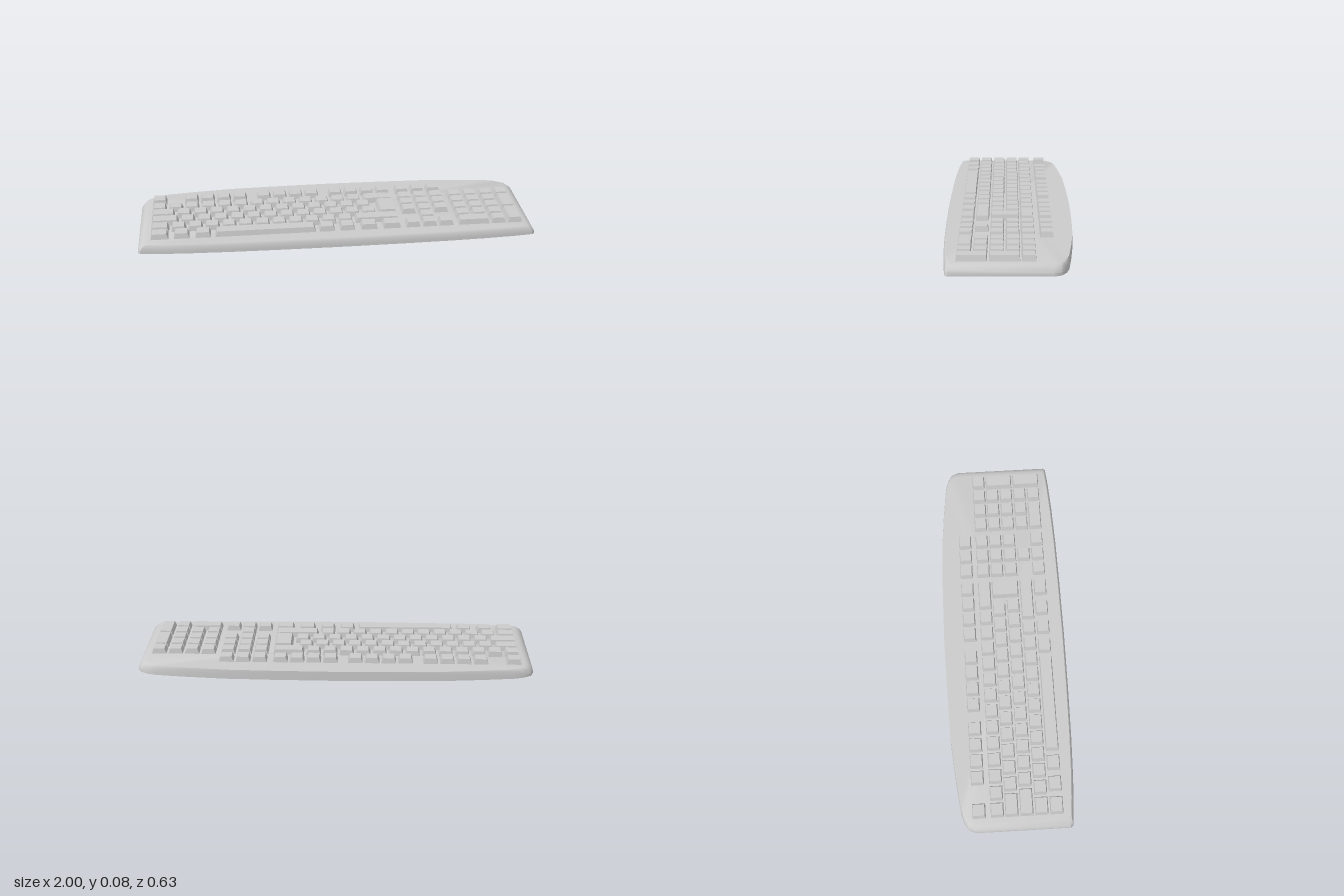
import * as THREE from 'three';
import { toCreasedNormals } from 'three/addons/utils/BufferGeometryUtils.js';

const material = new THREE.MeshStandardMaterial({ color: 0xcccccc });

// Right half of the case outline [x, z], from back centre to front centre
const HALF = [
  [0, -0.315], [0.3, -0.311], [0.55, -0.304], [0.75, -0.287], [0.9, -0.27],
  [0.95, -0.256], [0.985, -0.234], [1, -0.2], [1, 0.27], [0.99, 0.282],
  [0.9, 0.291], [0.75, 0.3], [0.55, 0.307], [0.3, 0.311], [0, 0.313],
];
// Side profile of the case: height, x scale, front inset
const RINGS = [
  [0, 1, 0], [0.014, 0.999, 0], [0.028, 0.991, 0.001],
  [0.039, 0.981, 0.004], [0.046, 0.969, 0.007], [0.05, 0.955, 0.011],
];

function makeCase() {
  const outline = [...HALF, ...HALF.slice(1, -1).reverse().map(([x, z]) => [-x, z])];
  const n = outline.length;
  const pos = [], index = [];
  for (const [y, sx, inset] of RINGS)
    for (const [x, z] of outline) pos.push(x * sx, y, z > 0 ? z - inset : z);
  const bottom = pos.length / 3, top = bottom + 1;
  pos.push(0, 0, 0, 0, 0.05, 0);
  const last = (RINGS.length - 1) * n;
  for (let i = 0; i < n; i++) {
    const j = (i + 1) % n;
    for (let r = 0; r < last; r += n)
      index.push(r + i, r + n + i, r + n + j, r + i, r + n + j, r + j);
    index.push(bottom, i, j, top, last + j, last + i);
  }
  const geo = new THREE.BufferGeometry();
  geo.setAttribute('position', new THREE.Float32BufferAttribute(pos, 3));
  geo.setIndex(index);
  const mesh = new THREE.Mesh(toCreasedNormals(geo, 0.6), material);
  mesh.name = 'case';
  return mesh;
}

// Key cap: a box whose top edges are drawn in
function makeKey(name, x0, x1, z0, z1, top = 0.077) {
  const base = 0.047;
  const geo = new THREE.BoxGeometry(x1 - x0, top - base, z1 - z0);
  const p = geo.attributes.position;
  for (let i = 0; i < p.count; i++) {
    if (p.getY(i) < 0) continue;
    p.setX(i, p.getX(i) - Math.sign(p.getX(i)) * 0.01);
    p.setZ(i, p.getZ(i) - (p.getZ(i) > 0 ? 0.006 : -0.004));
  }
  const mesh = new THREE.Mesh(toCreasedNormals(geo, 0.3), material);
  mesh.position.set((x0 + x1) / 2, (base + top) / 2, (z0 + z1) / 2);
  mesh.name = name;
  return mesh;
}

export function createModel() {
  const model = new THREE.Group();
  model.name = 'keyboard';
  model.add(makeCase());

  const PITCH = 0.0845, WIDTH = 0.076, DEPTH = 0.066;
  const ROW = [-0.18, -0.09, -0.018, 0.056, 0.13, 0.204];
  const group = (name) => {
    const g = new THREE.Group();
    g.name = name;
    model.add(g);
    return g;
  };
  // One key from x0 to x1, spanning rows r to r2
  const key = (g, name, r, x0, x1, r2 = r, top) =>
    g.add(makeKey(name, x0, x1, ROW[r] - DEPTH / 2, ROW[r2] + DEPTH / 2, top));
  // A run of standard keys
  const run = (g, name, r, x, count) => {
    for (let i = 0; i < count; i++) key(g, name, r, x + i * PITCH, x + i * PITCH + WIDTH);
  };

  // Top row: escape and three blocks of four
  const topRow = group('topRowKeys');
  run(topRow, 'escapeKey', 0, -0.939, 1);
  for (const x of [-0.773, -0.393, -0.013]) run(topRow, 'topRowKey', 0, x, 4);

  // Main typing block
  const main = group('mainKeys');
  run(main, 'numberKey', 1, -0.939, 13);
  key(main, 'backspaceKey', 1, 0.162, 0.32);
  key(main, 'tabKey', 2, -0.939, -0.82);
  run(main, 'letterKey', 2, -0.812, 12);
  key(main, 'capsKey', 3, -0.939, -0.8);
  run(main, 'letterKey', 3, -0.792, 12);
  key(main, 'enterKey', 2, 0.224, 0.32, 3, 0.08);
  key(main, 'leftShiftKey', 4, -0.939, -0.846);
  run(main, 'letterKey', 4, -0.837, 11);
  key(main, 'rightShiftKey', 4, 0.095, 0.32);
  for (const [x0, x1] of [[-0.939, -0.848], [-0.824, -0.744], [-0.717, -0.637],
    [-0.096, -0.016], [0.008, 0.086], [0.114, 0.2], [0.227, 0.32]])
    key(main, 'modifierKey', 5, x0, x1);
  key(main, 'spaceBar', 5, -0.617, -0.113);

  // Navigation block and arrows
  const nav = group('navigationKeys');
  for (const r of [0, 1, 2, 3]) run(nav, 'navigationKey', r, 0.345, 3);
  run(nav, 'arrowKey', 4, 0.345 + PITCH, 1);
  run(nav, 'arrowKey', 5, 0.345, 3);

  // Number pad
  const pad = group('numberPad');
  const padX = 0.615;
  run(pad, 'padKey', 1, padX, 4);
  for (const r of [2, 3, 4]) run(pad, 'padKey', r, padX, 3);
  for (const r of [2, 4]) key(pad, 'tallPadKey', r, padX + 3 * PITCH, padX + 3 * PITCH + WIDTH, r + 1);
  key(pad, 'widePadKey', 5, padX, padX + PITCH + WIDTH);
  run(pad, 'padKey', 5, padX + 2 * PITCH, 1);

  return model;
}
